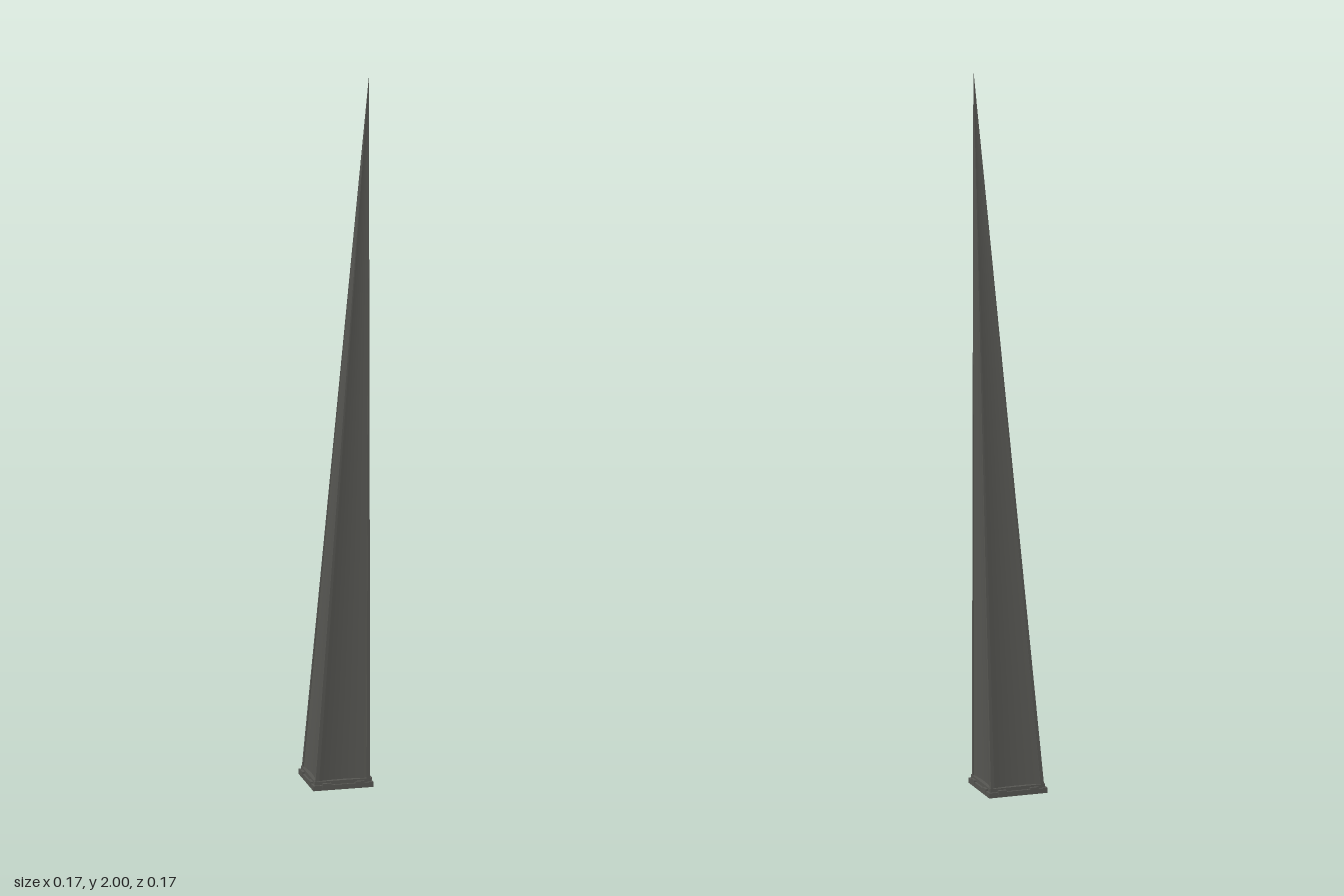
import * as THREE from 'three';

const HALF = 0.076, BASE = 0.02, APEX = new THREE.Vector3(0.073, 2, 0.073);

// Sweep an open profile of [x, z] points straight to the off-centre apex.
function taper(profile, flat) {
  const pos = [], index = [], n = profile.length, rings = 8;
  for (let r = 0; r <= rings; r++) {
    const t = Math.min(r / rings, 0.9995);
    for (const [x, z] of profile) {
      pos.push(x + (APEX.x - x) * t, BASE + (APEX.y - BASE) * t, z + (APEX.z - z) * t);
    }
  }
  for (let r = 0; r < rings; r++) {
    for (let i = 0; i < n - 1; i++) {
      const a = r * n + i, b = a + 1, c = a + n, d = c + 1;
      index.push(a, b, d, a, d, c);
    }
  }
  let g = new THREE.BufferGeometry();
  g.setAttribute('position', new THREE.Float32BufferAttribute(pos, 3));
  g.setIndex(index);
  if (flat) g = g.toNonIndexed();
  g.computeVertexNormals();
  return g;
}

// Turn a profile drawn for the front side to one of the four sides.
function turn(points, k) {
  const a = k * Math.PI / 2, c = Math.cos(a), s = Math.sin(a);
  return points.map(([x, z]) => [x * c + z * s, z * c - x * s]);
}

export function createModel() {
  const group = new THREE.Group();
  const metal = new THREE.MeshStandardMaterial({ color: 0x565652, side: THREE.DoubleSide });
  metal.name = 'dark grey metal';
  const add = (name, geometry, x = 0, y = 0, z = 0) => {
    const mesh = new THREE.Mesh(geometry, metal);
    mesh.name = name;
    mesh.position.set(x, y, z);
    group.add(mesh);
    return mesh;
  };

  // Shallow concave panel on each side
  const edge = 0.066, lip = 0.073, flute = [];
  for (let i = 0; i <= 12; i++) {
    const u = i / 6 - 1;
    flute.push([u * edge, lip - 0.006 * (1 - u * u)]);
  }
  // Square rib along each corner
  const rib = [[edge, lip], [edge, HALF], [HALF, HALF], [HALF, edge], [lip, edge]];

  for (let k = 0; k < 4; k++) {
    add('spirePanel', taper(turn(flute, k), false));
    add('cornerRib', taper(turn(rib, k), true));
  }

  // Base plate with a smaller step above it
  add('basePlate', new THREE.BoxGeometry(0.167, 0.014, 0.167), 0, 0.007, 0);
  add('baseStep', new THREE.BoxGeometry(0.156, 0.012, 0.156), 0, 0.018, 0);

  // Two clips on each side of the base
  for (let k = 0; k < 4; k++) {
    for (const x of [-0.046, 0.046]) {
      const [[cx, cz]] = turn([[x, 0.0805]], k);
      const clip = add('baseClip', new THREE.BoxGeometry(0.024, 0.012, 0.009), cx, 0.013, cz);
      clip.rotation.y = k * Math.PI / 2;
    }
  }
  return group;
}
